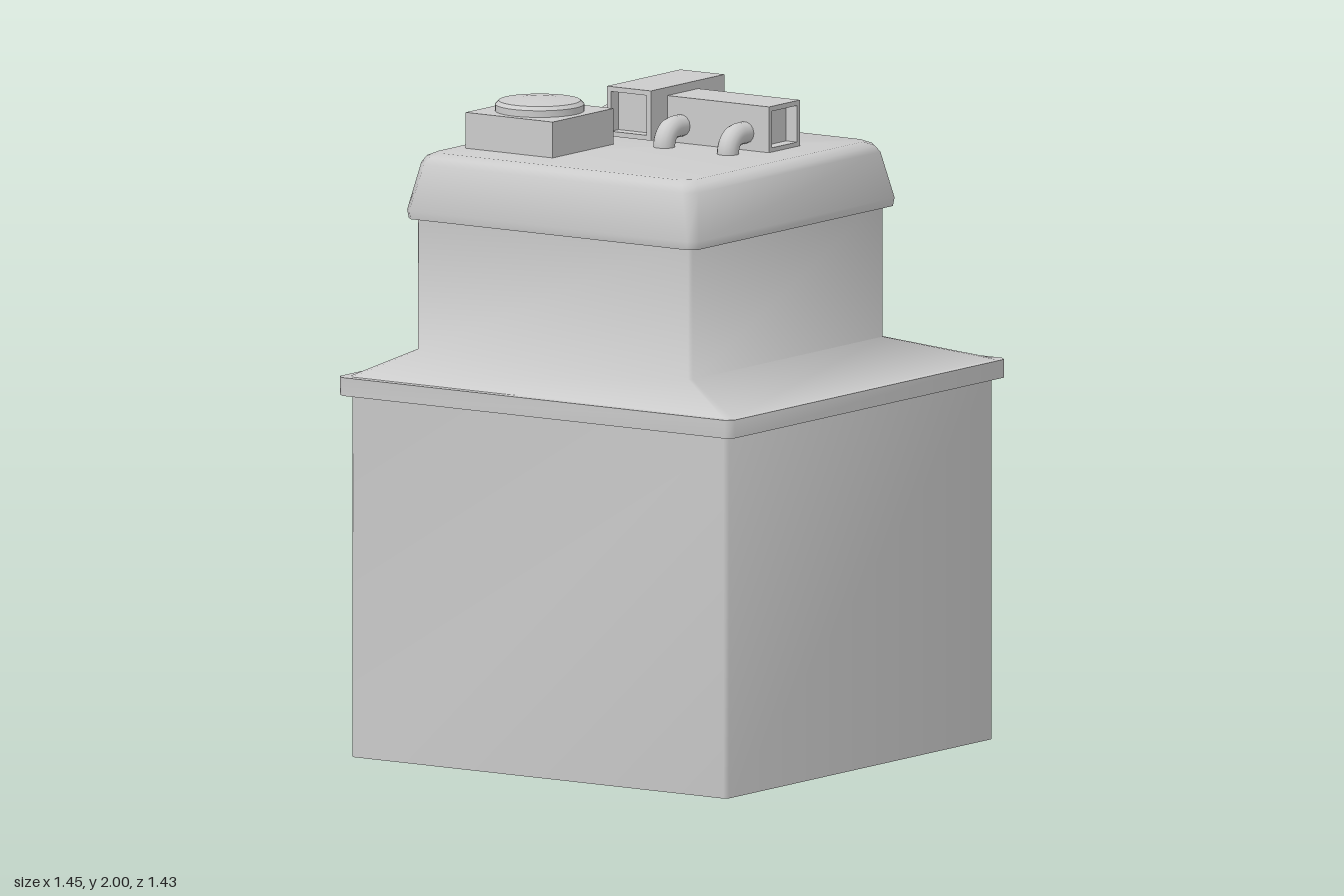
import * as THREE from 'three';
import { toCreasedNormals } from 'three/addons/utils/BufferGeometryUtils.js';

const material = new THREE.MeshStandardMaterial({ color: 0xcccccc, side: THREE.DoubleSide });

// Skin over chamfered rectangles, each ring = [x0, x1, z0, z1, y, chamfer]
function loft(rings, closeTop) {
  const pos = [], index = [];
  for (const [x0, x1, z0, z1, y, c] of rings) {
    const outline = [
      [x0 + c, z1], [x1 - c, z1], [x1, z1 - c], [x1, z0 + c],
      [x1 - c, z0], [x0 + c, z0], [x0, z0 + c], [x0, z1 - c]];
    for (const [x, z] of outline) pos.push(x, y, z);
  }
  for (let r = 0; r < rings.length - 1; r++) {
    for (let i = 0; i < 8; i++) {
      const a = r * 8 + i, b = r * 8 + (i + 1) % 8;
      index.push(a, b, b + 8, a, b + 8, a + 8);
    }
  }
  const top = (rings.length - 1) * 8;
  if (closeTop) for (let i = 1; i < 7; i++) index.push(top, top + i, top + i + 1);
  const g = new THREE.BufferGeometry();
  g.setAttribute('position', new THREE.Float32BufferAttribute(pos, 3));
  g.setIndex(index);
  return toCreasedNormals(g, 1.35);
}

function add(parent, name, geometry, x = 0, y = 0, z = 0) {
  const mesh = new THREE.Mesh(geometry, material);
  mesh.name = name;
  mesh.position.set(x, y, z);
  parent.add(mesh);
  return mesh;
}

// Box given by its limits
function box(parent, name, x0, x1, y0, y1, z0, z1) {
  return add(parent, name, new THREE.BoxGeometry(x1 - x0, y1 - y0, z1 - z0),
    (x0 + x1) / 2, (y0 + y1) / 2, (z0 + z1) / 2);
}

// Rectangular frame, centred in x and y, extruded along +z
function frame(w, h, border, depth) {
  const rect = (Type, a, b) => new Type([
    new THREE.Vector2(-a, -b), new THREE.Vector2(a, -b),
    new THREE.Vector2(a, b), new THREE.Vector2(-a, b)]);
  const shape = rect(THREE.Shape, w / 2, h / 2);
  shape.holes.push(rect(THREE.Path, w / 2 - border, h / 2 - border));
  return new THREE.ExtrudeGeometry(shape, { depth, bevelEnabled: false });
}

// Duct with a recessed mouth at its +z end
function duct(w, h, length) {
  const g = new THREE.Group(), recess = 0.04;
  add(g, 'ductBody', new THREE.BoxGeometry(w, h, length - recess), 0, 0, (length - recess) / 2);
  add(g, 'ductMouth', frame(w, h, 0.015, recess), 0, 0, length - recess);
  return g;
}

// Pipe leaving a wall along +x and bending down into the roof
function elbow() {
  const v = (x, y) => new THREE.Vector3(x, y, 0);
  const path = new THREE.CurvePath();
  path.add(new THREE.LineCurve3(v(-0.01, 0), v(0.035, 0)));
  path.add(new THREE.CubicBezierCurve3(v(0.035, 0), v(0.064, 0), v(0.087, -0.023), v(0.087, -0.05)));
  path.add(new THREE.LineCurve3(v(0.087, -0.05), v(0.087, -0.07)));
  return new THREE.TubeGeometry(path, 16, 0.033, 14, false);
}

export function createModel() {
  const model = new THREE.Group();
  model.name = 'building';

  // Hollow lower storey, open underneath
  add(model, 'walls', loft([
    [-0.68, 0.69, -0.69, 0.69, 0.01, 0.012],
    [-0.68, 0.69, -0.69, 0.69, 1.10, 0.012]]));

  // Ledge around the top of the walls
  add(model, 'ledge', loft([
    [-0.68, 0.69, -0.69, 0.69, 1.10, 0.012],
    [-0.713, 0.723, -0.717, 0.717, 1.10, 0.022],
    [-0.713, 0.723, -0.717, 0.717, 1.155, 0.022],
    [-0.69, 0.70, -0.70, 0.692, 1.155, 0.02]]));

  // Sloping skirt running up into the off-centre upper storey
  add(model, 'upperStorey', loft([
    [-0.69, 0.70, -0.70, 0.692, 1.155, 0.02],
    [-0.495, 0.505, -0.387, 0.612, 1.245, 0.01],
    [-0.495, 0.505, -0.387, 0.612, 1.66, 0.01]]));

  // Overhanging roof cap
  add(model, 'roofCap', loft([
    [-0.495, 0.505, -0.387, 0.612, 1.64, 0.01],
    [-0.52, 0.535, -0.413, 0.64, 1.64, 0.025],
    [-0.523, 0.538, -0.418, 0.643, 1.665, 0.025],
    [-0.497, 0.512, -0.392, 0.617, 1.805, 0.035],
    [-0.485, 0.50, -0.38, 0.605, 1.825, 0.035],
    [-0.46, 0.475, -0.355, 0.58, 1.837, 0.035]], true));

  // Door with clipped upper corners
  const doorShape = new THREE.Shape([
    [-0.143, 0], [0.143, 0], [0.143, 0.44], [0.123, 0.46], [-0.123, 0.46], [-0.143, 0.44],
  ].map(([x, y]) => new THREE.Vector2(x, y)));
  const door = add(model, 'door', new THREE.ExtrudeGeometry(doorShape,
    { depth: 0.06, bevelEnabled: false }), -0.67, 0, -0.42);
  door.rotation.y = -Math.PI / 2;

  // Row of three framed windows
  for (const z of [-0.125, 0.075, 0.275]) {
    const win = new THREE.Group();
    win.name = 'window';
    add(win, 'windowFrame', frame(0.17, 0.2, 0.016, 0.035));
    add(win, 'windowPane', new THREE.BoxGeometry(0.14, 0.17, 0.02), 0, 0, 0.008);
    win.position.set(-0.485, 1.43, z);
    win.rotation.y = -Math.PI / 2;
    model.add(win);
  }

  // Cooling unit with a shallow domed fan cover
  box(model, 'coolingUnit', -0.422, -0.105, 1.83, 1.945, 0.145, 0.46);
  const dome = [[0.133, 0], [0.133, 0.022], [0.122, 0.033], [0.06, 0.039], [0, 0.04]]
    .map(([r, y]) => new THREE.Vector2(r, y));
  add(model, 'fanCover', toCreasedNormals(new THREE.LatheGeometry(dome, 40), 0.6), -0.263, 1.943, 0.303);

  // Two roof ducts, one facing the front and one facing the left
  const frontDuct = duct(0.16, 0.15, 0.38);
  frontDuct.name = 'frontDuct';
  frontDuct.position.set(-0.085, 1.925, -0.285);
  const sideDuct = duct(0.16, 0.14, 0.37);
  sideDuct.name = 'sideDuct';
  sideDuct.position.set(-0.005, 1.905, -0.07);
  sideDuct.rotation.y = Math.PI / 2;
  model.add(frontDuct, sideDuct);

  // Bent pipes: [x, y, z, heading]
  const pipes = [
    [0.045, 1.89, 0.01, -Math.PI / 2], [0.277, 1.89, 0.01, -Math.PI / 2],
    [-0.165, 1.9, -0.228, Math.PI], [-0.165, 1.9, -0.005, Math.PI],
    [-0.358, 1.9, 0.145, Math.PI / 2], [-0.28, 1.9, 0.145, Math.PI / 2]];
  for (const [x, y, z, heading] of pipes) add(model, 'pipe', elbow(), x, y, z).rotation.y = heading;

  return model;
}
